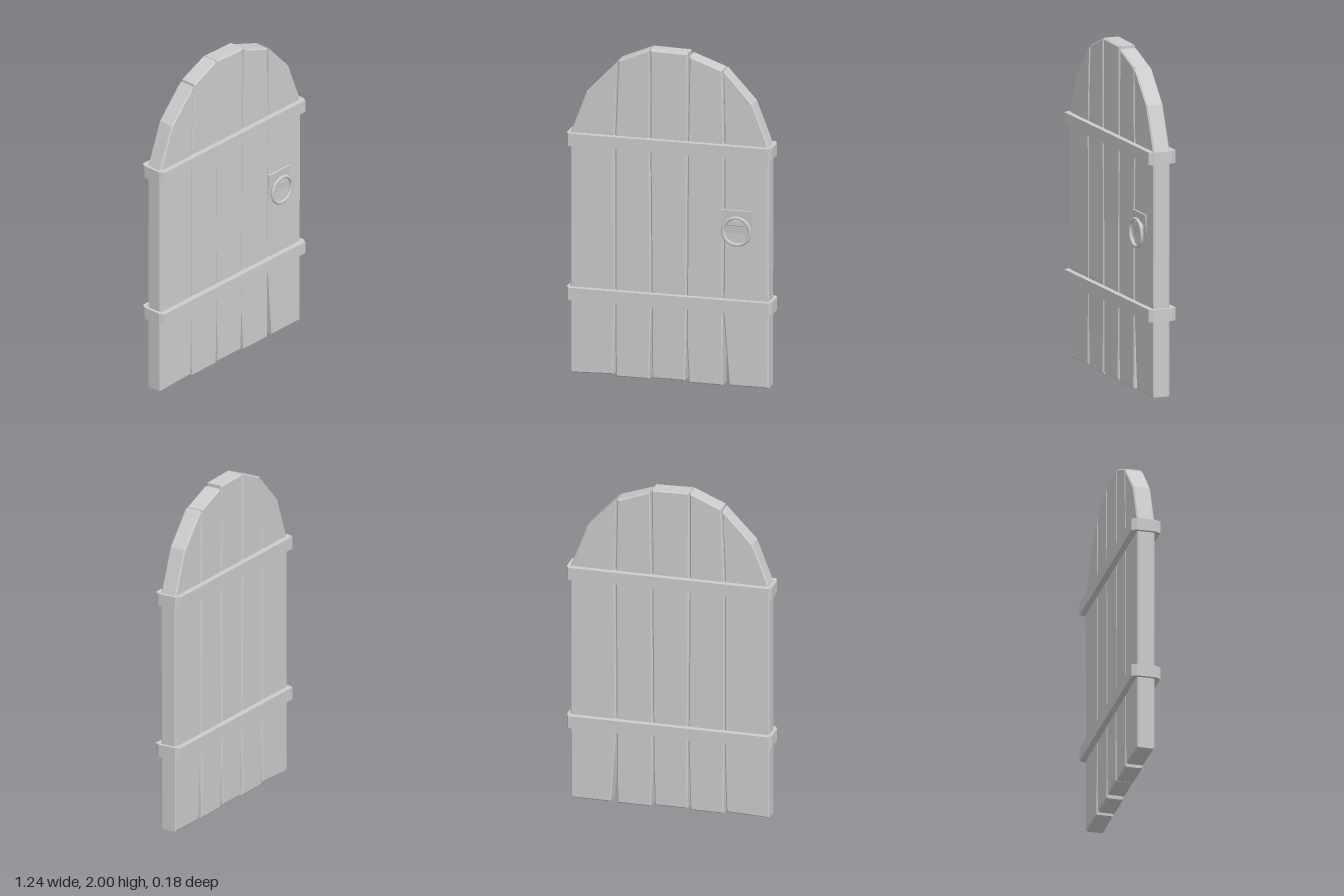
import * as THREE from 'three';

const material = new THREE.MeshStandardMaterial({ color: 0xcccccc, flatShading: true });
const smooth = new THREE.MeshStandardMaterial({ color: 0xcccccc });

function add(parent, name, geometry, mat = material) {
  const mesh = new THREE.Mesh(geometry, mat);
  mesh.name = name;
  parent.add(mesh);
  return mesh;
}

// Extrudes an outline between two depths, with a chamfer kept inside the outline
function slab(points, back, front, bevel) {
  const shape = new THREE.Shape(points.map(([x, y]) => new THREE.Vector2(x, y)));
  const geometry = new THREE.ExtrudeGeometry(shape, {
    depth: front - back - 2 * bevel,
    bevelEnabled: bevel > 0,
    bevelThickness: bevel,
    bevelSize: bevel,
    bevelOffset: -bevel,
    bevelSegments: 1,
  });
  return geometry.translate(0, 0, back + bevel);
}

export function createModel() {
  const door = new THREE.Group();
  door.name = 'door';

  // Five worn planks: outlines run counter-clockwise from the lower left
  const planks = [
    [[-0.6, 0.005], [-0.34, 0.015], [-0.33, 0.39], [-0.333, 1.46], [-0.318, 1.91], [-0.5, 1.72], [-0.6, 1.46]],
    [[-0.325, 0.003], [-0.123, 0.003], [-0.112, 0.43], [-0.12, 1.46], [-0.122, 2], [-0.31, 1.92], [-0.329, 1.46], [-0.329, 0.39]],
    [[-0.106, 0.01], [0.09, 0.01], [0.099, 0.26], [0.106, 1.46], [0.108, 1.995], [-0.117, 2], [-0.117, 1.46], [-0.109, 0.43]],
    [[0.115, 0], [0.317, 0], [0.32, 0.43], [0.327, 1.46], [0.317, 1.91], [0.12, 1.98], [0.11, 1.46], [0.102, 0.26]],
    [[0.357, 0.003], [0.597, 0.003], [0.6, 1.46], [0.5, 1.72], [0.325, 1.91], [0.331, 1.46], [0.324, 0.43]],
  ];
  planks.forEach((outline, i) => add(door, `plank${i + 1}`, slab(outline, -0.055, 0.05, 0.008)));

  // Two straps wrapping the planks, with chamfered corners
  const strap = [
    [-0.602, -0.083], [0.602, -0.083], [0.618, -0.053], [0.618, 0.06],
    [0.602, 0.09], [-0.602, 0.09], [-0.618, 0.06], [-0.618, -0.053],
  ];
  [['lowerStrap', 0.455], ['upperStrap', 1.39]].forEach(([name, y]) => {
    const geometry = slab(strap, 0, 0.075, 0).rotateX(-Math.PI / 2);
    add(door, name, geometry).position.y = y;
  });

  // Ring handle hung from a staple on a leaning plate
  const handle = new THREE.Group();
  handle.name = 'handle';
  handle.position.set(0.41, 0.95, 0);
  door.add(handle);

  const plate = add(handle, 'handlePlate', new THREE.BoxGeometry(0.18, 0.17, 0.014));
  plate.position.set(0, 0.036, 0.047);
  plate.rotation.x = 0.07;

  add(handle, 'ring', new THREE.TorusGeometry(0.081, 0.011, 8, 32), smooth).position.z = 0.077;

  const staple = [[-0.058, 0.03], [0.058, 0.03], [0.058, 0.048], [0.036, 0.066], [-0.036, 0.066], [-0.058, 0.048]];
  add(handle, 'staple', slab(staple, 0.045, 0.074, 0.004));

  return door;
}
